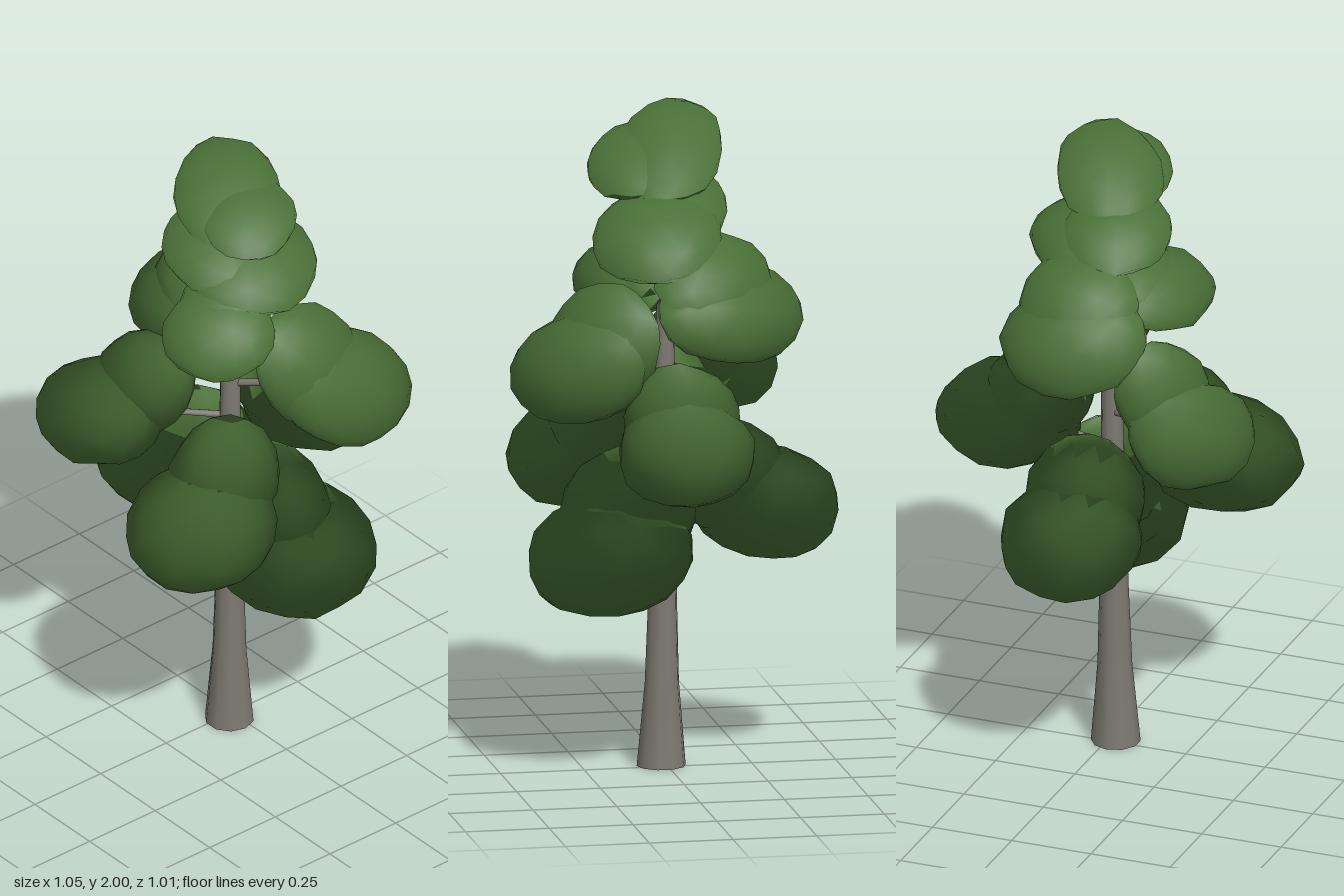
import * as THREE from 'three';
import { mergeVertices } from 'three/addons/utils/BufferGeometryUtils.js';

const CROWN = new THREE.Vector3(0, 1.3, 0);

// Foliage ball: lumpy, flat underneath, drooping along the heading, fitted to the box lo..hi.
function ballGeometry(lo, hi, heading, droop, seed) {
  let geo = new THREE.IcosahedronGeometry(1, 2);
  geo.deleteAttribute('uv');
  geo.deleteAttribute('normal');
  geo = mergeVertices(geo, 1e-4);
  const pos = geo.attributes.position;
  const v = new THREE.Vector3();
  const out = new THREE.Vector3(Math.cos(heading), 0, Math.sin(heading));
  for (let i = 0; i < pos.count; i++) {
    v.fromBufferAttribute(pos, i);
    v.multiplyScalar(1 + 0.04 * Math.sin(4 * v.x + seed) * Math.cos(3 * v.y + 5 * v.z + 2 * seed));
    v.y = Math.max(v.y, -0.8) - droop * v.dot(out);
    pos.setXYZ(i, v.x, v.y, v.z);
  }
  // Stretch to the wanted size
  geo.computeBoundingBox();
  const { min, max } = geo.boundingBox;
  const s = ['x', 'y', 'z'].map((k, i) => (hi[i] - lo[i]) / (max[k] - min[k]));
  geo.translate(-min.x, -min.y, -min.z);
  geo.scale(...s);
  geo.translate(...lo);
  geo.computeVertexNormals();
  // Soft foliage normals that lean outward from the middle of the crown
  const nor = geo.attributes.normal;
  const n = new THREE.Vector3();
  for (let i = 0; i < pos.count; i++) {
    n.fromBufferAttribute(nor, i).multiplyScalar(0.35);
    v.fromBufferAttribute(pos, i).sub(CROWN).normalize();
    n.addScaledVector(v, 0.65).normalize();
    nor.setXYZ(i, n.x, n.y, n.z);
  }
  geo.computeBoundingSphere();
  return geo;
}

// Tapered limb between two points
function limb(from, to, r0, r1, material) {
  const dir = to.clone().sub(from);
  const mesh = new THREE.Mesh(new THREE.CylinderGeometry(r1, r0, dir.length(), 6, 1, true), material);
  mesh.position.copy(from).addScaledVector(dir, 0.5);
  mesh.quaternion.setFromUnitVectors(new THREE.Vector3(0, 1, 0), dir.normalize());
  mesh.name = 'branch';
  return mesh;
}

export function createModel() {
  const tree = new THREE.Group();
  tree.name = 'tree';
  const leaf = new THREE.MeshStandardMaterial({ color: 0x4a7037 });
  leaf.name = 'leaf green';
  const bark = new THREE.MeshStandardMaterial({ color: 0x7d7a71, side: THREE.DoubleSide });
  bark.name = 'bark grey';

  // Trunk with a flared foot, leaning slightly
  const profile = [[0.073, 0], [0.051, 0.25], [0.043, 0.5], [0.036, 0.85], [0.029, 1.25], [0.015, 1.8]]
    .map(([r, y]) => new THREE.Vector2(r, y));
  const trunkGeo = new THREE.LatheGeometry(profile, 10);
  const tp = trunkGeo.attributes.position;
  for (let i = 0; i < tp.count; i++) {
    const t = tp.getY(i) / 1.8;
    tp.setX(i, tp.getX(i) - 0.023 + 0.015 * t);
    tp.setZ(i, tp.getZ(i) + 0.016 - 0.012 * t);
  }
  const trunk = new THREE.Mesh(trunkGeo, bark);
  trunk.name = 'trunk';
  tree.add(trunk);

  // Each clump: low and high corners of its wide outer ball, then of its higher inner ball
  const clumps = {
    topClump: [[-0.16, 1.715, -0.04], [0.12, 1.93, 0.235], [-0.17, 1.69, -0.16], [0.15, 2.0, 0.16]],
    crownRightClump: [[-0.16, 1.48, -0.15], [0.245, 1.74, 0.23], [-0.2, 1.54, -0.18], [0.12, 1.79, 0.14]],
    upperBackClump: [[-0.18, 1.23, -0.39], [0.25, 1.52, 0.03], [-0.14, 1.33, -0.3], [0.21, 1.61, 0.05]],
    upperFrontClump: [[-0.29, 1.34, -0.07], [0.03, 1.56, 0.26], [-0.22, 1.38, -0.08], [0.05, 1.595, 0.2]],
    middleFrontClump: [[-0.02, 1.1, 0.1], [0.37, 1.4, 0.505], [-0.04, 1.13, 0.05], [0.28, 1.48, 0.38]],
    middleLeftClump: [[0.08, 0.87, -0.2], [0.525, 1.17, 0.2], [0.05, 0.95, -0.17], [0.38, 1.25, 0.17]],
    middleBackClump: [[-0.525, 1.0, -0.39], [-0.16, 1.27, 0.01], [-0.37, 1.08, -0.29], [-0.09, 1.36, 0.03]],
    lowerRightClump: [[-0.525, 0.74, 0.0], [-0.06, 1.06, 0.42], [-0.34, 0.83, 0.02], [-0.01, 1.18, 0.32]],
    lowerBackClump: [[-0.21, 0.63, -0.505], [0.21, 0.95, -0.07], [-0.18, 0.7, -0.36], [0.18, 1.04, 0.0]],
    lowestFrontClump: [[-0.17, 0.5, -0.06], [0.32, 0.84, 0.43], [-0.13, 0.6, -0.08], [0.21, 0.98, 0.33]],
  };
  Object.entries(clumps).forEach(([name, [lo, hi, innerLo, innerHi]], i) => {
    const clump = new THREE.Group();
    clump.name = name;
    const mid = new THREE.Vector3(...lo).add(new THREE.Vector3(...hi)).multiplyScalar(0.5);
    const heading = Math.atan2(mid.z, mid.x);
    const outer = new THREE.Mesh(ballGeometry(lo, hi, heading, 0.08, i * 1.7), leaf);
    outer.name = 'outerFoliage';
    const inner = new THREE.Mesh(ballGeometry(innerLo, innerHi, heading, 0.12, i * 2.3 + 1), leaf);
    inner.name = 'innerFoliage';
    clump.add(outer, inner);
    // Thin branch from the trunk
    if (name !== 'topClump') {
      const root = new THREE.Vector3(-0.015, mid.y - 0.07, 0.005);
      clump.add(limb(root, mid, 0.012, 0.007, bark));
    }
    tree.add(clump);
  });
  return tree;
}
